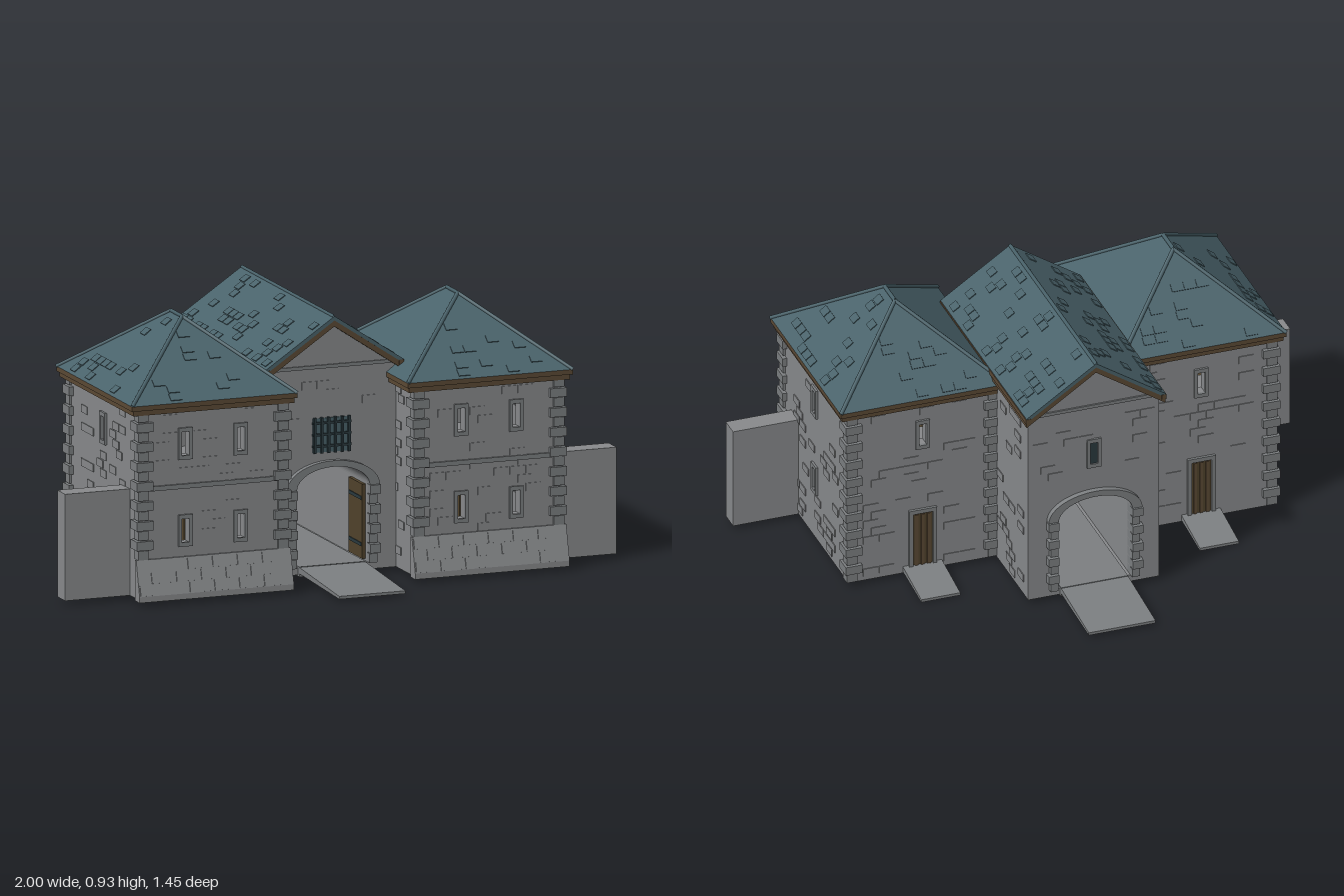
import * as THREE from 'three';
import { mergeGeometries } from 'three/addons/utils/BufferGeometryUtils.js';

const mat = (name, color) => Object.assign(new THREE.MeshStandardMaterial({ color }), { name });

export function createModel() {
  const stone = mat('wall stone', 0x898b8d);
  const dressed = mat('dressed stone', 0x7d8082);
  const slate = mat('roof slate', 0x4a636b);
  const timber = mat('eaves timber', 0x5c4a35);
  const wood = mat('door wood', 0x51432c);
  const iron = mat('grille iron', 0x2b3a3f);
  const model = new THREE.Group();
  model.name = 'gatehouse';

  let seed = 7;
  const rand = () => (seed = (seed * 16807) % 2147483647) / 2147483647;
  const add = (parent, name, geo, m) => {
    const mesh = new THREE.Mesh(geo, m);
    mesh.name = name;
    parent.add(mesh);
    return mesh;
  };
  const box = (x0, x1, y0, y1, z0, z1) => new THREE.BoxGeometry(Math.abs(x1 - x0), y1 - y0, z1 - z0)
    .translate((x0 + x1) / 2, (y0 + y1) / 2, (z0 + z1) / 2);
  const poly = (pts) => new THREE.Shape(pts.map(([x, y]) => new THREE.Vector2(x, y)));
  const rect = (x, y, w, h) => poly([[x - w / 2, y - h / 2], [x + w / 2, y - h / 2], [x + w / 2, y + h / 2], [x - w / 2, y + h / 2]]);
  const extrude = (shape, depth) => new THREE.ExtrudeGeometry(shape, { depth, bevelEnabled: false, curveSegments: 20 });
  // Profile given in (z, y), extruded across x and centred
  const across = (pts, w) => extrude(poly(pts), w).translate(0, 0, -w / 2).rotateY(-Math.PI / 2);
  const place = (parent, name, x, y, z, ry = 0) => {
    const g = new THREE.Group();
    g.name = name;
    g.position.set(x, y, z);
    g.rotation.y = ry;
    parent.add(g);
    return g;
  };

  // Scattered, slightly proud blocks in running bond; avoid = [x, y, halfWidth, halfHeight]
  const courses = (y0, y1, halfWidth, row, len, density, proud, avoid = []) => {
    const out = [];
    for (let j = 0, y = y0; y + row <= y1; y += row, j++) {
      const hw = halfWidth(y + row);
      for (let x = -hw + (j % 2) * len / 2; x + len <= hw; x += len) {
        const cx = x + len / 2, cy = y + row / 2;
        if (rand() > density) continue;
        if (avoid.some(([ax, ay, aw, ah]) => Math.abs(cx - ax) < aw + len / 2 && Math.abs(cy - ay) < ah + row / 2)) continue;
        out.push(box(x + 0.002, x + len - 0.002, y + 0.002, y + row - 0.002, -0.002, proud));
      }
    }
    return mergeGeometries(out);
  };
  // Roof slates on a slope rising from its eave; the group faces outward
  const slates = (parent, slope, length, halfWidth) => {
    const m = add(parent, 'slates', courses(0.01, length - 0.01, halfWidth, 0.034, 0.045, 0.2, 0.003), slate);
    m.rotation.x = slope - Math.PI / 2;
  };

  // Wall panel facing +z, with slit windows and optional doorway
  const BASE = 0.015, TOP = 0.665, T = 0.04;
  const windowFrame = (parent, x, y, z = 0) => {
    const s = rect(x, y, 0.05, 0.11);
    s.holes.push(rect(x, y, 0.027, 0.082));
    add(parent, 'windowFrame', extrude(s, 0.012).translate(0, 0, z - 0.004), dressed);
  };
  const wall = (parent, width, windows, door) => {
    const s = rect(0, (BASE + TOP) / 2, width, TOP - BASE);
    const avoid = windows.map(([x, y]) => [x, y, 0.028, 0.058]);
    for (const [x, y] of windows) {
      s.holes.push(rect(x, y, 0.03, 0.085));
      windowFrame(parent, x, y);
    }
    if (door) {
      avoid.push([0, 0.14, 0.05, 0.13]);
      const frame = poly([[-0.05, 0.03], [-0.05, 0.255], [0.05, 0.255], [0.05, 0.03], [0.036, 0.03], [0.036, 0.24], [-0.036, 0.24], [-0.036, 0.03]]);
      add(parent, 'doorFrame', extrude(frame, 0.01), dressed);
      add(parent, 'door', box(-0.036, 0.036, 0.03, 0.24, -0.002, 0.003), wood);
      for (let i = -1; i <= 1; i++) add(parent, 'doorBatten', box(i * 0.022 - 0.006, i * 0.022 + 0.006, 0.035, 0.235, 0, 0.007), timber);
    }
    add(parent, 'wall', extrude(s, T).translate(0, 0, -T), stone);
    add(parent, 'wallBlocks', courses(0.03, TOP - 0.01, () => width / 2 - 0.05, 0.031, 0.058, 0.25, 0.003, avoid), stone);
  };

  // Hipped roof from an eave rectangle and a short ridge
  const HX = 0.3, ZB = -0.15, ZF = 0.54, RB = 0.14, RF = 0.24, EAVE = 0.69, RIDGE = 0.918;
  const corners = [[-HX, ZF], [HX, ZF], [HX, ZB], [-HX, ZB]].map(([x, z]) => new THREE.Vector3(x, EAVE, z));
  const ridge = [RF, RB].map((z) => new THREE.Vector3(0, RIDGE, z));
  const hipRoof = () => {
    const [a, b, c, d] = corners, [f, r] = ridge;
    const g = new THREE.BufferGeometry().setFromPoints([a, b, f, b, c, r, b, r, f, c, d, r, d, a, f, d, f, r]);
    g.computeVertexNormals();
    return g;
  };
  const roll = (p, q) => new THREE.TubeGeometry(new THREE.LineCurve3(p, q), 1, 0.007, 6);

  // Corner towers
  const H = 0.265, Z0 = -0.13, Z1 = 0.52, ZC = (Z0 + Z1) / 2;
  for (const s of [-1, 1]) {
    const t = place(model, s > 0 ? 'leftTower' : 'rightTower', 0.5 * s, 0, 0);
    wall(place(t, 'frontWall', 0, 0, Z1), 2 * H, [[-0.1, 0.245], [0.1, 0.245], [-0.1, 0.545], [0.1, 0.545]]);
    wall(place(t, 'backWall', 0, 0, Z0, Math.PI), 2 * H, [[0, 0.545]], true);
    wall(place(t, 'outerWall', s * H, 0, ZC, s * Math.PI / 2), Z1 - Z0 - 2 * T, [[0, 0.245], [0, 0.545]]);
    wall(place(t, 'innerWall', -s * H, 0, ZC, -s * Math.PI / 2), Z1 - Z0 - 2 * T, []);

    // Alternating corner stones
    const quoins = [];
    for (const sx of [-1, 1]) for (const front of [0, 1]) {
      for (let i = 0, y = front ? 0.155 : 0.02; y < 0.64; y += 0.034, i++) {
        const long = i % 2, reach = long ? 0.045 : 0.03, p = long ? 0.015 : 0.008;
        const xo = sx * (H + p), xi = sx * (H - reach);
        const z = front ? [Z1 - reach, Z1 + p] : [Z0 - p, Z0 + reach];
        quoins.push(box(xi, xo, y, Math.min(y + 0.031, TOP), ...z));
      }
    }
    add(t, 'cornerStones', mergeGeometries(quoins), dressed);
    add(t, 'stringCourse', box(-H, H, 0.39, 0.406, Z1 - 0.005, Z1 + 0.008), dressed);

    // Battered base with laid blocks
    add(t, 'batteredBase', across([[Z1 - 0.005, BASE], [0.558, BASE], [0.558, 0.035], [0.527, 0.155], [Z1 - 0.005, 0.155]], 0.56), stone);
    const batter = place(t, 'baseBlocks', 0, 0.035, 0.558);
    batter.rotation.x = -Math.atan(0.031 / 0.12);
    add(batter, 'blocks', courses(0, 0.125, () => 0.278, 0.04, 0.09, 0.8, 0.004), stone);

    // Roof with eaves and hip rolls
    add(t, 'lowerEaves', box(-0.292, 0.292, 0.655, 0.675, ZB + 0.008, ZF - 0.008), timber);
    add(t, 'upperEaves', box(-HX, HX, 0.673, EAVE, ZB, ZF), timber);
    add(t, 'hipRoof', hipRoof(), slate);
    const [a, b, c, d] = corners, [f, r] = ridge;
    add(t, 'hipRolls', mergeGeometries([roll(a, f), roll(b, f), roll(c, r), roll(d, r), roll(f, r)]), slate);
    const slope = Math.atan((RIDGE - EAVE) / 0.3), len = 0.375;
    slates(place(t, 'frontSlope', 0, EAVE, ZF), slope, len, (y) => 0.28 * (1 - y / len));
    slates(place(t, 'backSlope', 0, EAVE, ZB, Math.PI), Math.atan((RIDGE - EAVE) / 0.29), 0.365, (y) => 0.28 * (1 - y / len));
    slates(place(t, 'outerSlope', s * HX, EAVE, ZC, s * Math.PI / 2), slope, len, (y) => 0.325 - 0.29 * y / len);

    // Upper floor with stair opening, posts and stair
    const floor = rect(0, 0, 2 * H - 0.06, 0.59);
    floor.holes.push(rect(-0.13, -0.1, 0.1, 0.26));
    add(t, 'upperFloor', extrude(floor, 0.02).rotateX(-Math.PI / 2).translate(0, 0.37, ZC), stone);
    for (const [x, z] of [[-0.07, 0.2], [0.1, 0.2], [-0.07, 0.02], [0.1, 0.02]]) {
      add(t, 'post', box(x - 0.01, x + 0.01, 0.02, 0.375, z - 0.01, z + 0.01), wood);
    }
    for (const x of [-0.17, -0.09]) {
      add(t, 'stairStringer', across([[0.47, 0.02], [0.48, 0.04], [0.2, 0.39], [0.18, 0.37]], 0.012).translate(x, 0, 0), wood);
    }
    for (let i = 0; i < 9; i++) {
      const y = 0.055 + i * 0.036, z = 0.455 - i * 0.029;
      add(t, 'stairTread', box(-0.17, -0.09, y, y + 0.008, z - 0.02, z + 0.015), wood);
    }

    // Door ramp and curtain wall stub
    add(t, 'doorRamp', across([[Z0, 0.02], [Z0, 0.04], [-0.312, 0.01], [-0.312, 0]], 0.14), dressed);
    add(model, 'curtainWall', box(s * 0.755, s, BASE, 0.383, 0.36, 0.432), stone);
  }

  // Central block with vaulted passage
  const g = place(model, 'gateBlock', 0, 0, 0);
  const GB = -0.445, GF = 0.345, W = 0.235, A = 0.132, SPRING = 0.31, CROWN = 0.383;
  const body = poly([[-W, BASE], [W, BASE], [W, 0.715], [0, 0.87], [-W, 0.715]]);
  const passage = new THREE.Path().moveTo(-A, 0.04).lineTo(A, 0.04).lineTo(A, SPRING);
  passage.absellipse(0, SPRING, A, CROWN - SPRING, 0, Math.PI, false);
  body.holes.push(passage);
  add(g, 'body', extrude(body, GF - GB).translate(0, 0, GB), stone);
  add(g, 'passagePaving', box(-0.12, 0.12, 0.01, 0.045, GB - 0.01, GF + 0.01), dressed);

  // Arch surrounds and gable details on both ends
  const arch = new THREE.Shape();
  arch.absellipse(0, SPRING, 0.168, 0.094, 0, Math.PI, false);
  arch.lineTo(-A, SPRING);
  arch.absellipse(0, SPRING, A, CROWN - SPRING, Math.PI, 0, true);
  for (const [name, z, ry] of [['frontFace', GF, 0], ['backFace', GB, Math.PI]]) {
    const f = place(g, name, 0, 0, z, ry);
    add(f, 'arch', extrude(arch, 0.022).translate(0, 0, -0.002), dressed);
    const jambs = [];
    for (const sx of [-1, 1]) for (let i = 0; i < 8; i++) {
      const y = 0.04 + i * 0.034, long = i % 2;
      jambs.push(box(sx * A, sx * (long ? 0.17 : 0.16), y, y + 0.031, -0.03, long ? 0.026 : 0.018));
    }
    add(f, 'jambStones', mergeGeometries(jambs), dressed);
    add(f, 'gableCourse', box(-W, W, 0.722, 0.734, -0.01, 0.006), dressed);
    add(f, 'faceBlocks', courses(0.03, 0.71, () => 0.22, 0.031, 0.055, 0.3, 0.003,
      [[0, 0.2, 0.175, 0.21], [0, 0.5, 0.085, 0.08]]), stone);
  }
  for (const s of [-1, 1]) {
    const side = place(g, 'sideBlocks', s * W, 0, -0.29, s * Math.PI / 2);
    add(side, 'blocks', courses(0.03, 0.7, () => 0.145, 0.031, 0.058, 0.25, 0.003), stone);
    // Gate leaf folded back against the passage wall
    add(g, 'gateLeaf', box(s * 0.12, s * A, 0.047, 0.305, 0.2, 0.325), wood);
    for (const y of [0.09, 0.25]) add(g, 'gateStrap', box(s * 0.117, s * 0.122, y, y + 0.012, 0.205, 0.32), iron);
  }

  // Rear slit window and front grille
  const rear = place(g, 'rearWindow', 0, 0, GB, Math.PI);
  windowFrame(rear, 0, 0.545);
  add(rear, 'windowDark', box(-0.014, 0.014, 0.503, 0.587, -0.002, 0.002), iron);
  add(g, 'grilleBacking', box(-0.068, 0.068, 0.432, 0.55, GF - 0.003, GF + 0.003), slate);
  for (let i = 0; i < 6; i++) {
    const x = -0.062 + i * 0.0248;
    add(g, 'grilleBar', box(x - 0.004, x + 0.004, 0.43, 0.553, GF, GF + 0.012), iron);
  }
  for (const y of [0.45, 0.49, 0.53]) add(g, 'grilleRail', box(-0.07, 0.07, y, y + 0.008, GF, GF + 0.01), iron);

  // Gabled roof over timber
  const chevron = (peak, eave, t) => extrude(poly([[-0.25, eave], [-0.25, eave - t], [0, peak - t], [0.25, eave - t], [0.25, eave], [0, peak]]), 0.845).translate(0, 0, -0.47);
  add(g, 'gableRoof', chevron(0.905, 0.738, 0.015), slate);
  add(g, 'roofTimber', chevron(0.891, 0.724, 0.022).scale(0.995, 1, 0.995), timber);
  for (const s of [-1, 1]) {
    add(g, 'eaveBoard', box(s * 0.235, s * 0.252, 0.718, 0.736, -0.471, 0.376), timber);
    slates(place(g, 'roofSlope', s * 0.25, 0.738, -0.047, s * Math.PI / 2), Math.atan(0.668), 0.3, () => 0.41);
  }
  add(g, 'ridgeRoll', roll(new THREE.Vector3(0, 0.902, -0.47), new THREE.Vector3(0, 0.902, 0.375)), slate);

  // Paved approach ramps
  add(model, 'frontRamp', across([[0.34, 0.022], [0.72, 0.008], [0.72, 0.018], [0.34, 0.044]], 0.24), dressed);
  add(model, 'backRamp', across([[-0.44, 0.022], [-0.44, 0.044], [-0.725, 0.018], [-0.725, 0.008]], 0.24), dressed);
  return model;
}
